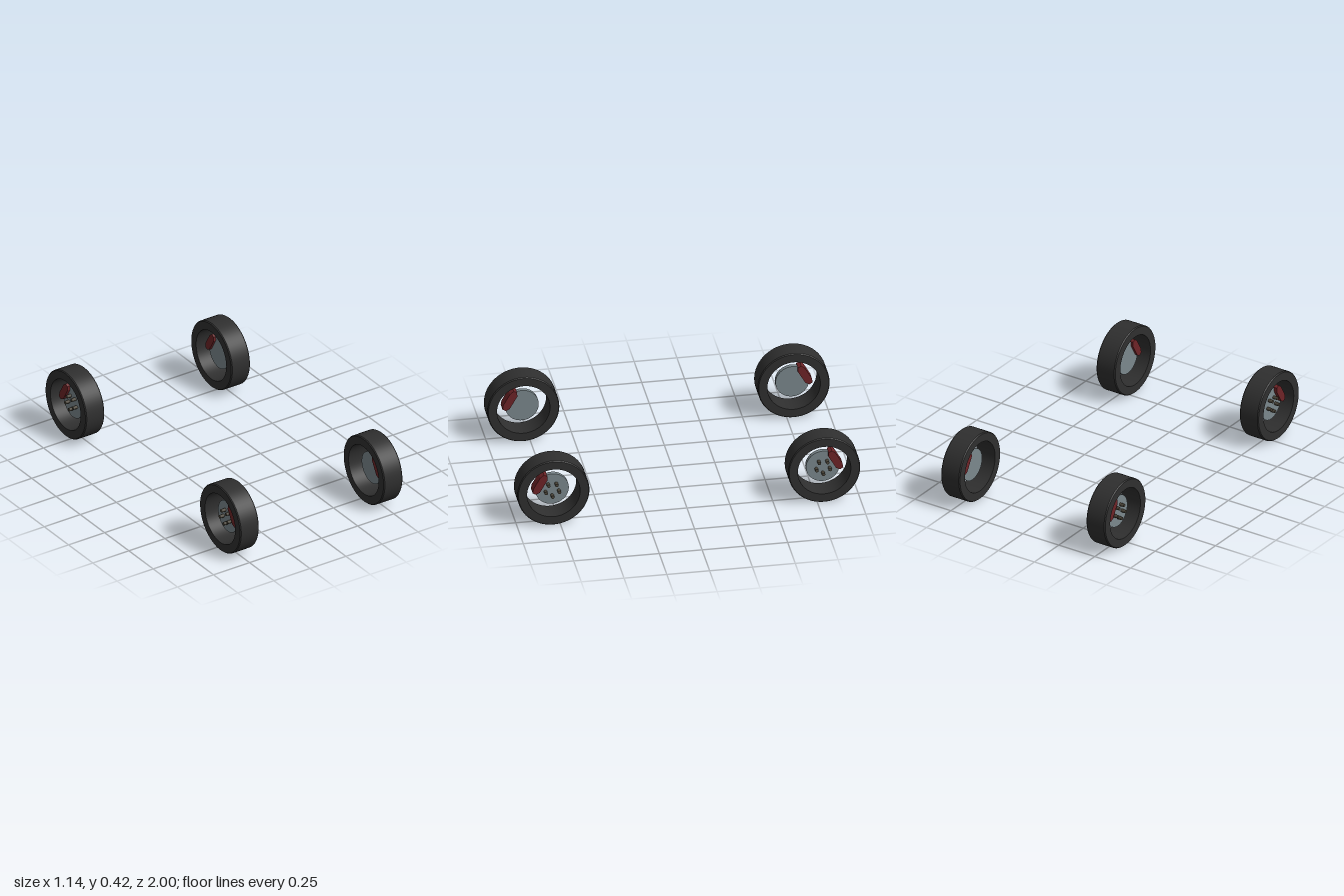
import * as THREE from 'three';

const mat = (name, color) => Object.assign(new THREE.MeshStandardMaterial({ color }), { name });

export function createModel() {
  const rubber = mat('black rubber', 0x2f2f2f);
  const steel = mat('brake steel', 0x7b888d);
  const red = mat('caliper red', 0x6e2427);
  const bolt = mat('bolt metal', 0x4c463a);

  const R = 0.21, half = 0.065;

  // Tyre: a closed ring with slightly softened outer corners, axis along x
  const profile = [
    [0.155, -half], [0.155, half], [0.205, half], [R, half - 0.006],
    [R, -half + 0.006], [0.205, -half], [0.155, -half],
  ];
  // Each profile segment is lathed separately so its edges stay crisp
  const bands = profile.slice(1).map((p, i) => {
    const a = profile[i];
    // points run so that the faces look out of the rubber
    const g = new THREE.LatheGeometry([new THREE.Vector2(...p), new THREE.Vector2(...a)], 64);
    return g.rotateZ(-Math.PI / 2);
  });

  const discGeo = new THREE.CylinderGeometry(0.098, 0.098, 0.026, 48).rotateZ(-Math.PI / 2);
  const boltGeo = new THREE.CylinderGeometry(0.01, 0.01, 0.03, 12).rotateZ(-Math.PI / 2);

  // Caliper outline: x is the radial direction, y runs along the disc edge
  const outline = [[0.06, -0.045], [0.074, -0.066], [0.096, -0.066], [0.106, -0.04],
    [0.106, 0.04], [0.096, 0.066], [0.074, 0.066], [0.06, 0.045]];
  const caliperShape = new THREE.Shape(outline.map(([x, y]) => new THREE.Vector2(x, y)));
  const caliperGeo = (dir) => new THREE.ExtrudeGeometry(caliperShape, { depth: 0.06, bevelEnabled: false })
    .translate(0, 0, -0.028)
    .rotateZ(THREE.MathUtils.degToRad(dir > 0 ? 150 : 30))
    .rotateY(Math.PI / 2);

  // One wheel, built with its outer side towards +x
  function makeWheel(caliperDir) {
    const wheel = new THREE.Group();
    const add = (name, geo, material, parent = wheel) => {
      const m = new THREE.Mesh(geo, material);
      m.name = name;
      parent.add(m);
      return m;
    };
    const tyre = new THREE.Group();
    tyre.name = 'tyre';
    wheel.add(tyre);
    rubber.side = THREE.DoubleSide;
    bands.forEach((g) => add('tyreBand', g, rubber, tyre));
    add('brakeDisc', discGeo, steel);
    add('brakeCaliper', caliperGeo(caliperDir), red);
    // Five wheel bolts, one at the bottom
    for (let i = 0; i < 5; i++) {
      const a = -Math.PI / 2 + (i * 2 * Math.PI) / 5;
      add('wheelBolt', boltGeo, bolt).position.set(0.027, 0.041 * Math.sin(a), 0.041 * Math.cos(a));
    }
    return wheel;
  }

  const model = new THREE.Group();
  model.name = 'wheelSet';
  for (const sz of [1, -1]) {
    for (const sx of [1, -1]) {
      const wheel = makeWheel(sx * sz);
      wheel.name = (sz > 0 ? 'front' : 'rear') + (sx > 0 ? 'Left' : 'Right') + 'Wheel';
      wheel.position.set(sx * (sz > 0 ? 0.498 : 0.505), R, sz * 0.79);
      if (sx < 0) wheel.rotation.y = Math.PI;
      model.add(wheel);
    }
  }
  return model;
}
